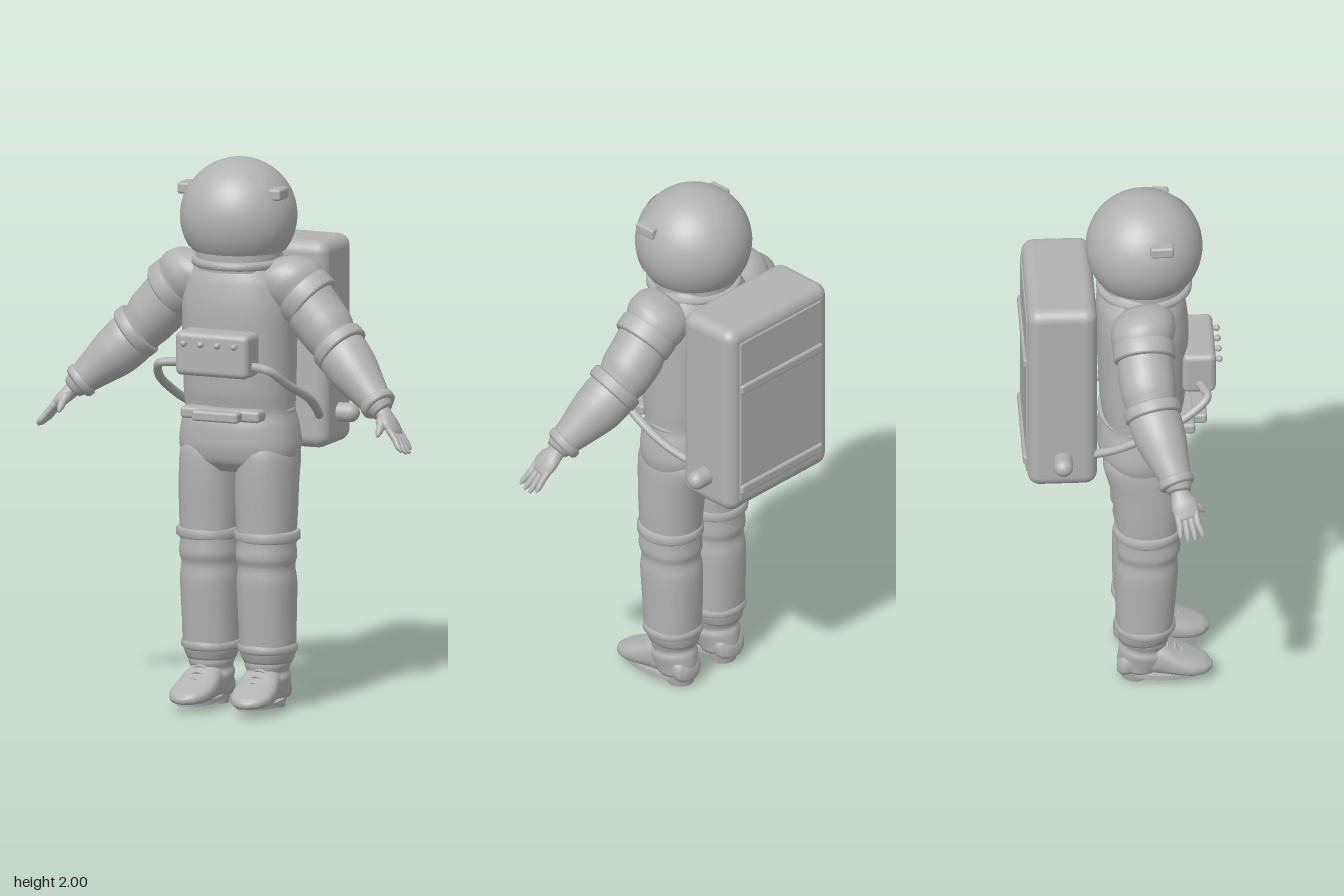
import * as THREE from 'three';
import { RoundedBoxGeometry } from 'three/addons/geometries/RoundedBoxGeometry.js';

const V = (x, y, z) => new THREE.Vector3(x, y, z);

export function createModel() {
  const model = new THREE.Group();
  const suit = new THREE.MeshStandardMaterial({ color: 0xb2b2b2 });
  suit.name = 'suit grey';
  suit.side = THREE.DoubleSide;

  function add(name, geometry, x = 0, y = 0, z = 0) {
    const mesh = new THREE.Mesh(geometry, suit);
    mesh.name = name;
    mesh.position.set(x, y, z);
    model.add(mesh);
    return mesh;
  }

  // Smooth closed body through sections [x, y, z, radiusU, radiusV]; power > 2 is boxier.
  // U runs along ref x chord, V is perpendicular to both.
  function loft(sections, ref, power = 2, steps = 4, sides = 32) {
    const centres = new THREE.CatmullRomCurve3(sections.map(s => V(s[0], s[1], s[2])));
    const radii = new THREE.CatmullRomCurve3(sections.map(s => V(s[3], s[4] ?? s[3], 0)));
    const t = centres.points.at(-1).clone().sub(centres.points[0]).normalize();
    const u = ref.clone().cross(t).normalize();
    const v = t.clone().cross(u);
    const n = (sections.length - 1) * steps;
    const pos = [], index = [];
    const bend = c => Math.sign(c) * Math.abs(c) ** (2 / power);
    for (let i = 0; i <= n; i++) {
      const c = centres.getPoint(i / n), r = radii.getPoint(i / n);
      for (let j = 0; j < sides; j++) {
        const a = j / sides * Math.PI * 2;
        const p = c.clone().addScaledVector(u, r.x * bend(Math.cos(a)))
          .addScaledVector(v, r.y * bend(Math.sin(a)));
        pos.push(p.x, p.y, p.z);
        if (i === n) continue;
        const k = i * sides + j, l = i * sides + (j + 1) % sides;
        index.push(k, l, k + sides, l, l + sides, k + sides);
      }
    }
    const first = centres.points[0], last = centres.points.at(-1), cap = pos.length / 3;
    pos.push(first.x, first.y, first.z, last.x, last.y, last.z);
    for (let j = 0; j < sides; j++) {
      const k = (j + 1) % sides;
      index.push(cap, k, j, cap + 1, n * sides + j, n * sides + k);
    }
    const g = new THREE.BufferGeometry();
    g.setAttribute('position', new THREE.Float32BufferAttribute(pos, 3));
    g.setIndex(index);
    g.computeVertexNormals();
    return g;
  }

  // Rounded band around a limb
  function band(name, centre, axis, r, half, rz = r) {
    const b = 0.008;
    const profile = [[r - 0.03, -half], [r - b, -half], [r, -half + b], [r, half - b], [r - b, half], [r - 0.03, half]];
    const g = new THREE.LatheGeometry(profile.map(p => new THREE.Vector2(...p)), 40);
    g.scale(1, 1, rz / r);
    const mesh = add(name, g, ...centre);
    mesh.quaternion.setFromUnitVectors(V(0, 1, 0), axis.normalize());
  }

  const tube = (points, r) => new THREE.TubeGeometry(
    new THREE.CatmullRomCurve3(points.map(p => V(...p))), 40, r, 10);
  const forward = V(0, 0, 1), up = V(0, 1, 0);

  // Torso and hips: [y, half width, front z, back z]
  const torso = [[0.87, 0.17, 0.18, -0.04], [0.91, 0.213, 0.215, -0.07], [0.97, 0.224, 0.228, -0.088],
    [1.04, 0.214, 0.225, -0.08], [1.09, 0.202, 0.215, -0.07], [1.16, 0.204, 0.228, -0.078], [1.32, 0.206, 0.238, -0.085],
    [1.46, 0.208, 0.242, -0.09], [1.56, 0.195, 0.23, -0.088], [1.62, 0.165, 0.21, -0.07], [1.67, 0.14, 0.19, -0.04]];
  add('torso', loft(torso.map(([y, w, f, b]) => [0, y, (f + b) / 2, w, (f - b) / 2]), forward, 2.4, 4, 48));
  band('waistBelt', [0, 1.09, 0.07], up.clone(), 0.206, 0.012, 0.155);
  add('beltPlate', new RoundedBoxGeometry(0.31, 0.042, 0.07, 3, 0.012), 0, 1.087, 0.225);
  add('beltBuckle', new RoundedBoxGeometry(0.18, 0.038, 0.06, 3, 0.01), 0, 1.086, 0.275);

  // Helmet with collar and visor
  add('helmet', new THREE.SphereGeometry(0.209, 48, 32, 0, Math.PI * 2, 0, 2.2), 0, 1.79, 0.082);
  add('visor', new THREE.SphereGeometry(0.215, 40, 24, Math.PI / 2 - 1.08, 2.16, 0.96, 1.14), 0, 1.79, 0.078);
  add('neck', new THREE.CylinderGeometry(0.155, 0.155, 0.09, 40), 0, 1.645, 0.083);
  band('collar', [0, 1.625, 0.083], up.clone(), 0.172, 0.015);

  // Chest control box with knobs
  add('chestBox', new RoundedBoxGeometry(0.285, 0.16, 0.12, 4, 0.022), 0, 1.315, 0.275);
  for (let i = 0; i < 4; i++) {
    const x = -0.1 + i * 0.066;
    const stem = add('chestKnobStem', new THREE.CylinderGeometry(0.008, 0.008, 0.03, 12), x, 1.355, 0.34);
    stem.rotation.x = Math.PI / 2;
    add('chestKnob', new THREE.SphereGeometry(0.012, 14, 10), x, 1.355, 0.349);
  }

  // Backpack with raised rear panel and bars
  add('backpack', new RoundedBoxGeometry(0.515, 0.755, 0.25, 5, 0.045), 0, 1.298, -0.222);
  add('backpackPanel', new RoundedBoxGeometry(0.42, 0.66, 0.02, 2, 0.005), 0, 1.295, -0.342);
  for (const y of [1.01, 1.43])
    add('backpackBar', new RoundedBoxGeometry(0.42, 0.04, 0.03, 3, 0.01), 0, y, -0.347);

  for (const s of [1, -1]) {
    // Helmet side lug
    add('helmetLug', new RoundedBoxGeometry(0.05, 0.042, 0.085, 3, 0.01), s * 0.178, 1.888, 0.138);

    // Backpack side valve and air hose
    const valve = add('backpackValve', new THREE.CapsuleGeometry(0.035, 0.08, 8, 20), s * 0.26, 1.04, -0.222);
    valve.rotation.z = Math.PI / 2;
    add('airHose', tube([[s * 0.12, 1.275, 0.27], [s * 0.175, 1.275, 0.29], [s * 0.215, 1.27, 0.3],
      [s * 0.25, 1.215, 0.23], [s * 0.272, 1.14, 0.08], [s * 0.255, 1.08, -0.03], [s * 0.225, 1.04, -0.12]], 0.016));

    // Arm
    const arm = [[0.11, 1.585, 0.07, 0.085], [0.165, 1.568, 0.07, 0.115], [0.21, 1.545, 0.07, 0.118], [0.26, 1.5, 0.072, 0.1],
      [0.3, 1.445, 0.075, 0.103], [0.35, 1.39, 0.082, 0.1], [0.39, 1.34, 0.092, 0.088], [0.425, 1.305, 0.103, 0.096],
      [0.47, 1.26, 0.12, 0.092], [0.53, 1.205, 0.145, 0.073], [0.585, 1.155, 0.17, 0.055], [0.61, 1.13, 0.18, 0.04]];
    add('arm', loft(arm.map(([x, ...rest]) => [s * x, ...rest]), forward));
    band('shoulderBand', [s * 0.262, 1.505, 0.07], V(s * 0.8, -0.64, 0.05), 0.112, 0.033);
    band('elbowBand', [s * 0.4, 1.338, 0.094], V(s * 0.75, -0.62, 0.2), 0.104, 0.024);
    band('wristBand', [s * 0.583, 1.157, 0.168], V(s * 0.7, -0.62, 0.3), 0.066, 0.018);

    // Gloved hand
    add('palm', loft([[s * 0.59, 1.15, 0.17, 0.03], [s * 0.615, 1.12, 0.183, 0.028, 0.036],
      [s * 0.645, 1.09, 0.196, 0.024, 0.048], [s * 0.675, 1.055, 0.207, 0.013, 0.04]], forward, 2, 4, 20));
    for (let i = 0; i < 4; i++) {
      const z = -0.033 + i * 0.022, reach = 1 - 0.18 * Math.abs(i - 1.4);
      add('finger', loft([[s * 0.655, 1.078, 0.2 + z, 0.013], [s * 0.685, 1.043, 0.208 + z, 0.0125],
        [s * (0.685 + 0.025 * reach), 1.043 - 0.034 * reach, 0.215 + z * 1.15, 0.011],
        [s * (0.69 + 0.038 * reach), 1.043 - 0.055 * reach, 0.218 + z * 1.2, 0.005]], forward, 2, 3, 12));
    }
    add('thumb', loft([[s * 0.618, 1.115, 0.205, 0.016], [s * 0.625, 1.09, 0.232, 0.016],
      [s * 0.626, 1.07, 0.254, 0.013], [s * 0.627, 1.055, 0.268, 0.005]], up, 2, 3, 12));

    // Leg: [y, half width, front z, back z], with soft folds at the knee
    const leg = [[0.17, 0.085, 0.165, -0.015], [0.21, 0.1, 0.18, -0.022], [0.32, 0.102, 0.19, -0.026], [0.46, 0.106, 0.2, -0.026],
      [0.52, 0.1, 0.196, -0.016], [0.56, 0.107, 0.208, -0.024], [0.61, 0.104, 0.204, -0.022], [0.7, 0.108, 0.207, -0.028],
      [0.82, 0.109, 0.214, -0.045], [0.92, 0.107, 0.215, -0.07], [0.98, 0.09, 0.2, -0.06]];
    add('leg', loft(leg.map(([y, w, f, b]) => [s * 0.111, y, (f + b) / 2, w, (f - b) / 2]), forward, 2.2));
    band('kneeBand', [s * 0.114, 0.634, 0.089], up.clone(), 0.119, 0.02, 0.122);
    band('ankleBand', [s * 0.111, 0.223, 0.08], up.clone(), 0.108, 0.017, 0.11);

    // Boot shaft with folds
    const shaft = [[0.04, 0.065, 0.13, -0.015], [0.08, 0.074, 0.165, -0.018], [0.115, 0.082, 0.17, -0.014], [0.14, 0.076, 0.158, -0.005],
      [0.17, 0.085, 0.166, -0.014], [0.21, 0.08, 0.16, -0.01]];
    add('bootShaft', loft(shaft.map(([y, w, f, b]) => [s * 0.11, y, (f + b) / 2, w, (f - b) / 2]), forward));

    // Boot foot from heel to toe: [x, z, half width, top y, bottom y]
    const foot = [[0.11, -0.02, 0.03, 0.075, 0.03], [0.11, 0.0, 0.06, 0.11, 0.018], [0.111, 0.07, 0.066, 0.16, 0.022],
      [0.113, 0.14, 0.072, 0.155, 0.025], [0.117, 0.2, 0.08, 0.118, 0.025], [0.121, 0.255, 0.076, 0.092, 0.025],
      [0.124, 0.3, 0.052, 0.072, 0.028], [0.125, 0.322, 0.018, 0.055, 0.036]];
    add('bootFoot', loft(foot.map(([x, z, w, t, b]) => [s * x, (t + b) / 2, z, w, (t - b) / 2]), up, 2.5));

    // Sole and heel
    const sole = new THREE.CylinderGeometry(1, 1, 0.018, 32);
    sole.scale(0.07, 1, 0.15);
    add('bootSole', sole, s * 0.117, 0.031, 0.155);
    add('bootHeel', new THREE.CylinderGeometry(0.055, 0.048, 0.035, 24), s * 0.11, 0.0175, 0.045);

    // Boot laces
    for (let i = 0; i < 3; i++) {
      const y = 0.15 - i * 0.019, z = 0.158 + i * 0.026;
      add('bootLace', tube([[s * 0.116 - 0.04, y - 0.018, z], [s * 0.116, y, z + 0.004], [s * 0.116 + 0.04, y - 0.018, z]], 0.005));
    }
  }
  return model;
}
